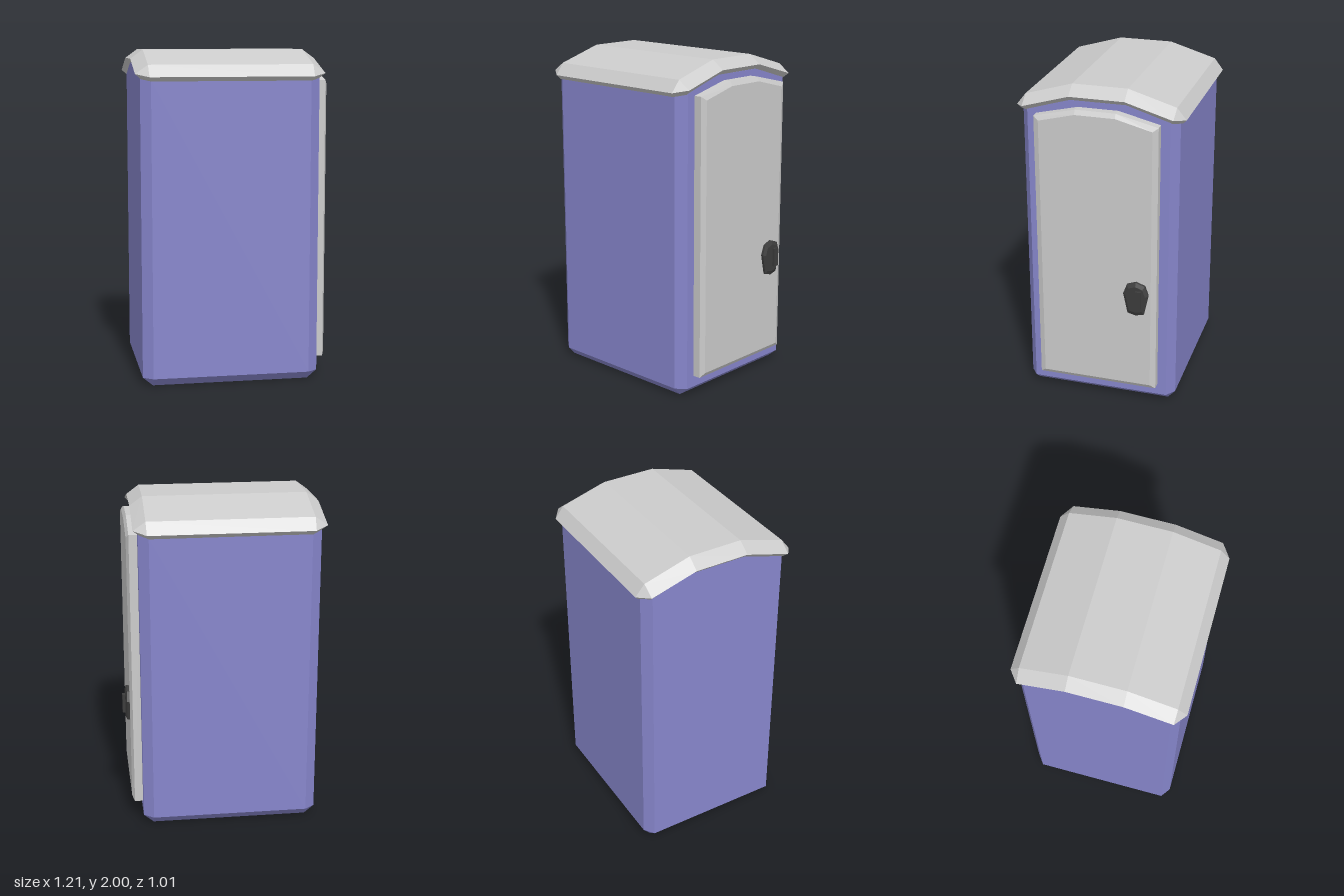
import * as THREE from 'three';

const mat = (color) => new THREE.MeshStandardMaterial({ color, flatShading: true });

// Skins a stack of equal-length rings; caps are strips joining point i to point n-1-i.
function loft(name, rings, material) {
  const pos = [];
  const tri = (a, b, c) => {
    const [A, B, C] = [a, b, c].map((p) => new THREE.Vector3(...p));
    if (B.sub(A).cross(C.sub(A)).length() > 1e-7) pos.push(...a, ...b, ...c);
  };
  const quad = (a, b, c, d) => { tri(a, b, c); tri(a, c, d); };
  const n = rings[0].length;
  for (let r = 0; r < rings.length - 1; r++) {
    for (let i = 0; i < n; i++) {
      const j = (i + 1) % n, lo = rings[r], hi = rings[r + 1];
      quad(lo[i], hi[i], hi[j], lo[j]);
    }
  }
  const first = rings[0], last = rings[rings.length - 1];
  for (let i = 0; i < n / 2 - 1; i++) {
    quad(last[i], last[n - 1 - i], last[n - 2 - i], last[i + 1]);
    quad(first[i], first[i + 1], first[n - 2 - i], first[n - 1 - i]);
  }
  const geo = new THREE.BufferGeometry();
  geo.setAttribute('position', new THREE.Float32BufferAttribute(pos, 3));
  geo.computeVertexNormals();
  const mesh = new THREE.Mesh(geo, material);
  mesh.name = name;
  return mesh;
}

// Chamfered plan outline. hx/hz: outer half sizes, cx/cz: where the corner cut
// begins, ys: heights at the long edge, the corner and the ridge.
const MID = -0.04, RIDGE = 0.165;
function planRing(hx, hz, cx, cz, [yEdge, yCorner, yRidge]) {
  const half = [
    [cx, yEdge, -hz], [hx, yCorner, -cz], [hx, yRidge, -RIDGE],
    [hx, yRidge, RIDGE], [hx, yCorner, cz], [cx, yEdge, hz],
  ];
  const other = half.map(([x, y, z]) => [-x, y, z]).reverse();
  return [...half, ...other].map(([x, y, z]) => [x + MID, y, z]);
}

// Outline in the door plane, given as [z, y] pairs, placed at depth x
const sideRing = (x, pts) => pts.map(([z, y]) => [x, y, z]);

export function createModel() {
  const model = new THREE.Group();
  model.name = 'cabinet';
  const blue = mat(0x8786cc), grey = mat(0xcccccc), black = mat(0x3c3c3c);

  // Body with cut corners and a bevelled foot
  model.add(loft('body', [
    planRing(0.475, 0.425, 0.475, 0.425, [0, 0, 0]),
    planRing(0.535, 0.47, 0.475, 0.425, [0.05, 0.05, 0.05]),
    planRing(0.535, 0.47, 0.475, 0.425, [1.825, 1.84, 1.917]),
  ], blue));

  // Faceted arched roof with bevelled rim
  model.add(loft('roof', [
    planRing(0.53, 0.482, 0.475, 0.43, [1.82, 1.832, 1.913]),
    planRing(0.565, 0.505, 0.487, 0.447, [1.845, 1.862, 1.945]),
    planRing(0.49, 0.45, 0.49, 0.45, [1.915, 1.915, 2.0]),
  ], grey));

  // Door panel on the +x side
  const doorOutline = (w, bottom, shoulder, top) => [
    [w, bottom], [w, shoulder], [0.12, top], [-0.12, top], [-w, shoulder], [-w, bottom],
  ];
  const outer = doorOutline(0.37, 0.12, 1.82, 1.88);
  model.add(loft('door', [
    sideRing(0.48, outer),
    sideRing(0.545, outer),
    sideRing(0.56, doorOutline(0.338, 0.145, 1.797, 1.853)),
  ], grey));

  // Lock plate and its grip
  const lock = new THREE.Group();
  lock.name = 'lock';
  const plate = (s) => [
    [0.05, -0.097], [0.077, 0.03], [0.055, 0.09], [0, 0.11],
    [-0.055, 0.09], [-0.077, 0.03], [-0.05, -0.097], [0, -0.11],
  ].map(([z, y]) => [z * s - 0.25, y * s + 0.74]);
  lock.add(loft('lockPlate', [
    sideRing(0.55, plate(1)), sideRing(0.575, plate(1)), sideRing(0.585, plate(0.78)),
  ], black));
  const grip = new THREE.Mesh(new THREE.BoxGeometry(0.03, 0.115, 0.034), black);
  grip.name = 'lockGrip';
  grip.position.set(0.587, 0.743, -0.27);
  lock.add(grip);
  model.add(lock);

  return model;
}
